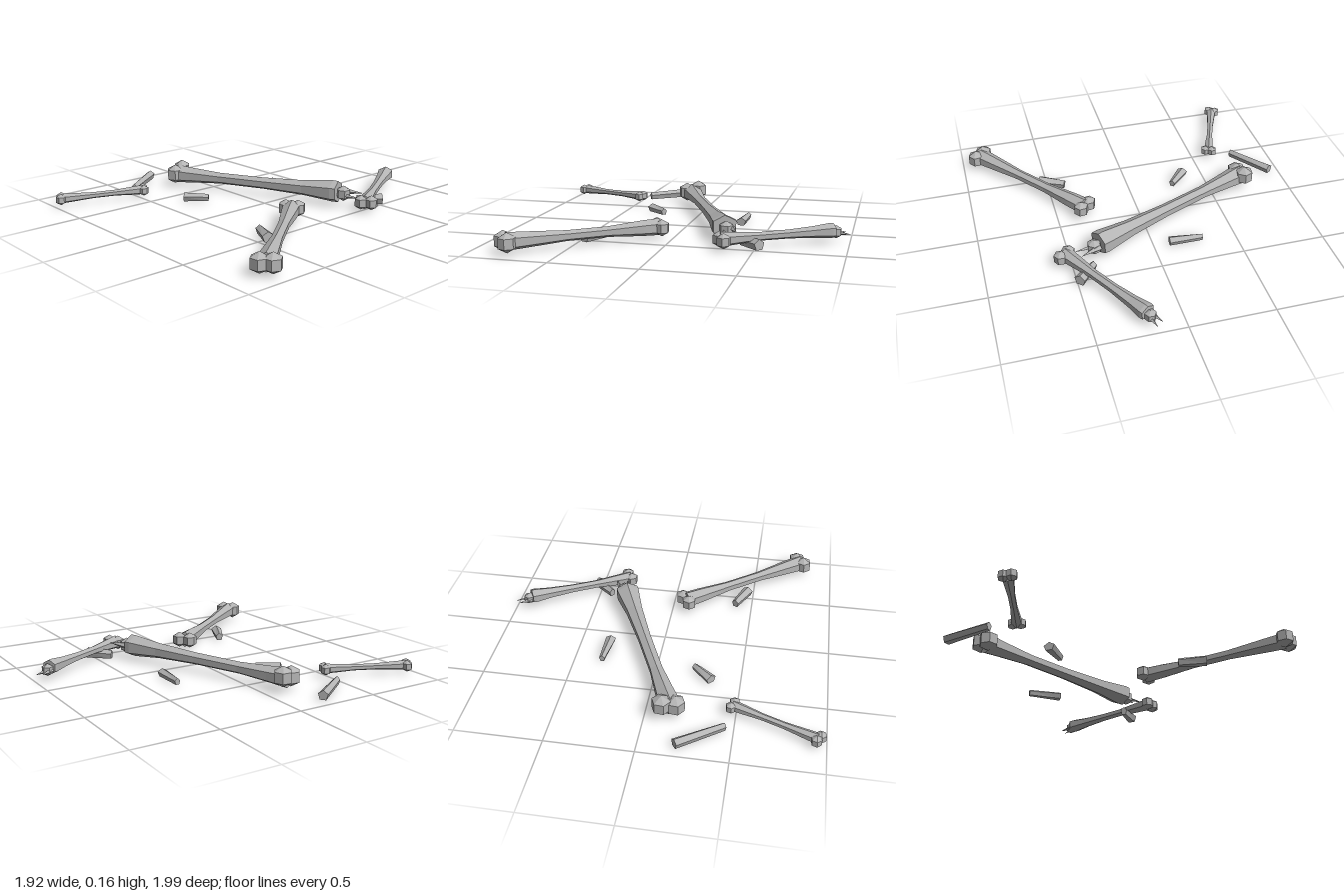
import * as THREE from 'three';

const bone = new THREE.MeshStandardMaterial({ color: 0xb4b4b4, flatShading: true });
bone.name = 'bone grey';

const V = (p) => new THREE.Vector3(...p);

function add(group, name, geometry) {
  const mesh = new THREE.Mesh(geometry.index ? geometry.toNonIndexed() : geometry, bone);
  mesh.geometry.computeVertexNormals();
  mesh.name = name;
  group.add(mesh);
  return mesh;
}

// Places a piece so its local y runs from a to b and its local z faces up
function align(mesh, a, b) {
  const y = V(b).sub(V(a)).normalize();
  const x = new THREE.Vector3().crossVectors(y, new THREE.Vector3(0, 1, 0)).normalize();
  const z = new THREE.Vector3().crossVectors(x, y);
  mesh.quaternion.setFromRotationMatrix(new THREE.Matrix4().makeBasis(x, y, z));
  mesh.position.copy(V(a));
}

// Capped shaft: radii are [fraction along the shaft, radius]
function shaft(group, a, b, radii, widen = 1) {
  const length = V(a).distanceTo(V(b));
  const profile = radii.map(([t, r]) => new THREE.Vector2(r, t * length));
  profile.unshift(new THREE.Vector2(0, 0));
  profile.push(new THREE.Vector2(0, length));
  const geometry = new THREE.LatheGeometry(profile, 6);
  geometry.scale(widen, 1, 1);
  align(add(group, 'shaft', geometry), a, b);
}

// Six-sided knob of a joint
function knob(group, p, r, turn = 0) {
  const mesh = add(group, 'knob', new THREE.SphereGeometry(r, 6, 3));
  mesh.position.copy(V(p));
  mesh.rotation.y = turn;
}

// Pointed splinter at a broken end
function splinter(group, a, b, r) {
  const length = V(a).distanceTo(V(b));
  const geometry = new THREE.ConeGeometry(r, length, 4);
  geometry.translate(0, length / 2, 0);
  align(add(group, 'splinter', geometry), a, b);
}

function makeBone(root, { name, from, to, radii, widen, knobs, splinters = [] }) {
  const group = new THREE.Group();
  group.name = name;
  const turn = Math.atan2(from[2] - to[2], to[0] - from[0]);
  shaft(group, from, to, radii, widen);
  knobs.forEach(([p, r]) => knob(group, p, r, turn));
  splinters.forEach(([a, b, r]) => splinter(group, a, b, r));
  root.add(group);
}

// Tapered chip lying on the ground, half widths w0 to w1
function shard(root, a, b, w0, w1, h) {
  const length = V(a).distanceTo(V(b));
  const geometry = new THREE.CylinderGeometry(1, 1, length, 5);
  geometry.translate(0, length / 2, 0);
  const p = geometry.attributes.position;
  for (let i = 0; i < p.count; i++) {
    const w = p.getY(i) > length / 2 ? w1 : w0;
    p.setX(i, p.getX(i) * w);
    p.setZ(i, p.getZ(i) * h * (0.6 + 0.4 * w / Math.max(w0, w1)));
  }
  align(add(root, 'boneShard', geometry), a, b);
}

export function createModel() {
  const root = new THREE.Group();
  root.name = 'scatteredBones';

  makeBone(root, {
    name: 'largeBrokenBone',
    from: [-0.7, 0.08, 0.14], to: [0.33, 0.092, -0.305],
    radii: [[0, 0.06], [0.1, 0.05], [0.28, 0.036], [0.55, 0.037], [0.8, 0.048], [0.97, 0.068], [1, 0.066]],
    widen: 1.15,
    knobs: [[[-0.715, 0.1, 0.095], 0.062], [[-0.69, 0.085, 0.17], 0.062], [[0.36, 0.085, -0.32], 0.048]],
    splinters: [
      [[0.33, 0.09, -0.34], [0.45, 0.09, -0.395], 0.024],
      [[0.33, 0.075, -0.3], [0.48, 0.075, -0.33], 0.022],
    ],
  });

  makeBone(root, {
    name: 'smallBrokenBone',
    from: [0.53, 0.065, -0.32], to: [0.2, 0.075, -0.905],
    radii: [[0, 0.042], [0.12, 0.036], [0.35, 0.025], [0.6, 0.026], [0.82, 0.034], [0.97, 0.045], [1, 0.043]],
    widen: 1.15,
    knobs: [[[0.512, 0.065, -0.31], 0.045], [[0.562, 0.065, -0.345], 0.045], [[0.19, 0.065, -0.92], 0.038]],
    splinters: [
      [[0.18, 0.06, -0.9], [0.135, 0.055, -0.975], 0.018],
      [[0.2, 0.06, -0.91], [0.17, 0.05, -1.0], 0.018],
    ],
  });

  makeBone(root, {
    name: 'mediumBone',
    from: [0.33, 0.07, 0.085], to: [0.88, 0.072, 0.785],
    radii: [[0, 0.05], [0.12, 0.046], [0.35, 0.031], [0.62, 0.031], [0.88, 0.046], [1, 0.052]],
    widen: 1.1,
    knobs: [
      [[0.3, 0.07, 0.105], 0.05], [[0.355, 0.07, 0.06], 0.05],
      [[0.86, 0.073, 0.81], 0.058], [[0.91, 0.073, 0.765], 0.058],
    ],
  });

  makeBone(root, {
    name: 'smallBone',
    from: [-0.61, 0.055, 0.48], to: [-0.79, 0.05, 0.95],
    radii: [[0, 0.03], [0.12, 0.027], [0.35, 0.019], [0.62, 0.019], [0.88, 0.027], [1, 0.03]],
    widen: 1.1,
    knobs: [
      [[-0.63, 0.055, 0.47], 0.034], [[-0.59, 0.055, 0.488], 0.034],
      [[-0.81, 0.05, 0.942], 0.035], [[-0.775, 0.05, 0.965], 0.035],
    ],
  });

  // Loose chips
  shard(root, [-0.295, 0.026, -0.333], [-0.095, 0.026, -0.32], 0.018, 0.032, 0.026);
  shard(root, [-0.275, 0.025, 0.222], [-0.38, 0.028, 0.332], 0.02, 0.035, 0.028);
  shard(root, [-0.935, 0.034, 0.2], [-0.755, 0.028, 0.45], 0.03, 0.02, 0.03);
  shard(root, [0.395, 0.028, 0.395], [0.545, 0.035, 0.465], 0.024, 0.036, 0.032);
  shard(root, [0.385, 0.03, -0.415], [0.49, 0.036, -0.53], 0.022, 0.036, 0.034);

  return root;
}
